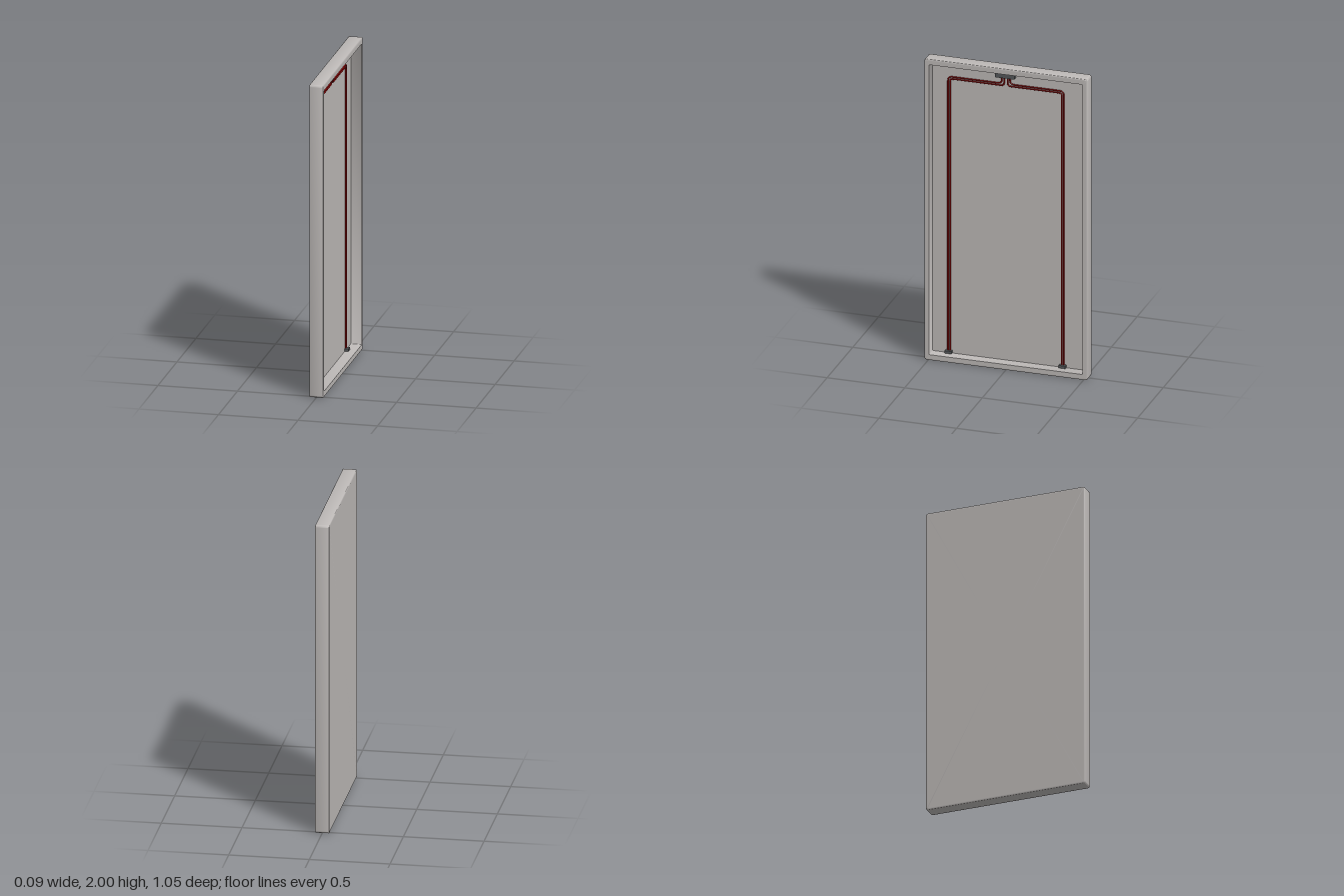
import * as THREE from 'three';
import { toCreasedNormals } from 'three/addons/utils/BufferGeometryUtils.js';

const FLOOR = -0.025; // x of the tray floor
const MID = 0.02;     // z about which the wiring is mirrored

// Rounded rectangle ring in the z/y plane at a given x
function ring(x, halfZ, halfY, r, steps = 5) {
  const pts = [];
  const corners = [[1, 1], [-1, 1], [-1, -1], [1, -1]];
  corners.forEach(([sz, sy], q) => {
    for (let i = 0; i <= steps; i++) {
      const a = (q + i / steps) * Math.PI / 2;
      pts.push([x, 1 + sy * (halfY - r) + r * Math.sin(a), sz * (halfZ - r) + r * Math.cos(a)]);
    }
  });
  return pts;
}

// Skin consecutive rings; the first and last collapse to a point
function loft(rings) {
  const pos = [];
  for (let k = 0; k < rings.length - 1; k++) {
    const a = rings[k], b = rings[k + 1], n = a.length;
    for (let i = 0; i < n; i++) {
      const j = (i + 1) % n;
      if (k < rings.length - 2) pos.push(...a[i], ...b[i], ...a[j], ...b[i], ...b[j], ...a[j]);
      else pos.push(...a[i], ...b[i], ...a[j]);
    }
  }
  const g = new THREE.BufferGeometry();
  g.setAttribute('position', new THREE.Float32BufferAttribute(pos, 3));
  return toCreasedNormals(g, 0.9);
}

// Path of straight runs with rounded bends
function bentPath(points, r) {
  const path = new THREE.CurvePath();
  let from = points[0];
  for (let i = 1; i < points.length - 1; i++) {
    const p = points[i];
    const toward = (q) => p.clone().add(q.clone().sub(p).setLength(r));
    const start = toward(points[i - 1]), end = toward(points[i + 1]);
    path.add(new THREE.LineCurve3(from, start));
    path.add(new THREE.QuadraticBezierCurve3(start, p, end));
    from = end;
  }
  path.add(new THREE.LineCurve3(from, points[points.length - 1]));
  return path;
}

export function createModel() {
  const model = new THREE.Group();
  model.name = 'wiredPanel';

  const material = (name, color) => {
    const m = new THREE.MeshStandardMaterial({ color });
    m.name = name;
    return m;
  };
  const panelGrey = material('panelGrey', 0xbfbbb9);
  const darkGrey = material('darkGrey', 0x55585a);
  const wireRed = material('wireRed', 0x8c0808);

  const add = (name, geometry, mat, x = 0, y = 0, z = 0) => {
    const mesh = new THREE.Mesh(geometry, mat);
    mesh.name = name;
    mesh.position.set(x, y, z);
    model.add(mesh);
  };

  // Shallow tray: flat back, softened outer edges, rim, recess walls and floor
  const X = 0.044, Z = 0.525, Y = 1, b = 0.006;
  add('panelTray', loft([
    ring(-X, 0, 0, 0),
    ring(-X, Z - 0.012, Y - 0.012, 0.01),
    ring(-X, Z - b, Y - b, 0.01),
    ring(-X + b * 0.3, Z - b * 0.3, Y - b * 0.3, 0.012),
    ring(-X + b, Z, Y, 0.014),
    ring(X - b, Z, Y, 0.014),
    ring(X - b * 0.3, Z - b * 0.3, Y - b * 0.3, 0.012),
    ring(X, Z - b, Y - b, 0.01),
    ring(X, Z - 0.012, Y - 0.012, 0.01),
    ring(X, 0.495, 0.963, 0.008),
    ring(FLOOR, 0.495, 0.963, 0.008),
    ring(FLOOR, 0, 0, 0),
  ]), panelGrey);

  // Connector block under the top wall
  add('connector', new THREE.BoxGeometry(0.03, 0.043, 0.125), darkGrey, FLOOR + 0.015, 1.9415, MID);

  // Mirrored wire pairs, each ending in a small clip
  const wires = [[0.012, 1.861, 0.360], [0.026, 1.874, 0.373]];
  for (const side of [1, -1]) {
    const sideName = side > 0 ? 'front' : 'rear';
    wires.forEach(([near, y, far], i) => {
      const points = [[1.925, near], [y, near], [y, far], [0.045, far]]
        .map(([py, pz]) => new THREE.Vector3(FLOOR + 0.005, py, MID + side * pz));
      add(`${sideName}Wire${i + 1}`,
        new THREE.TubeGeometry(bentPath(points, i ? 0.028 : 0.02), 240, 0.005, 8), wireRed);
    });
    add(`${sideName}Clip`, new THREE.BoxGeometry(0.025, 0.017, 0.044), darkGrey,
      FLOOR + 0.0125, 0.0485, MID + side * 0.3665);
  }

  return model;
}
